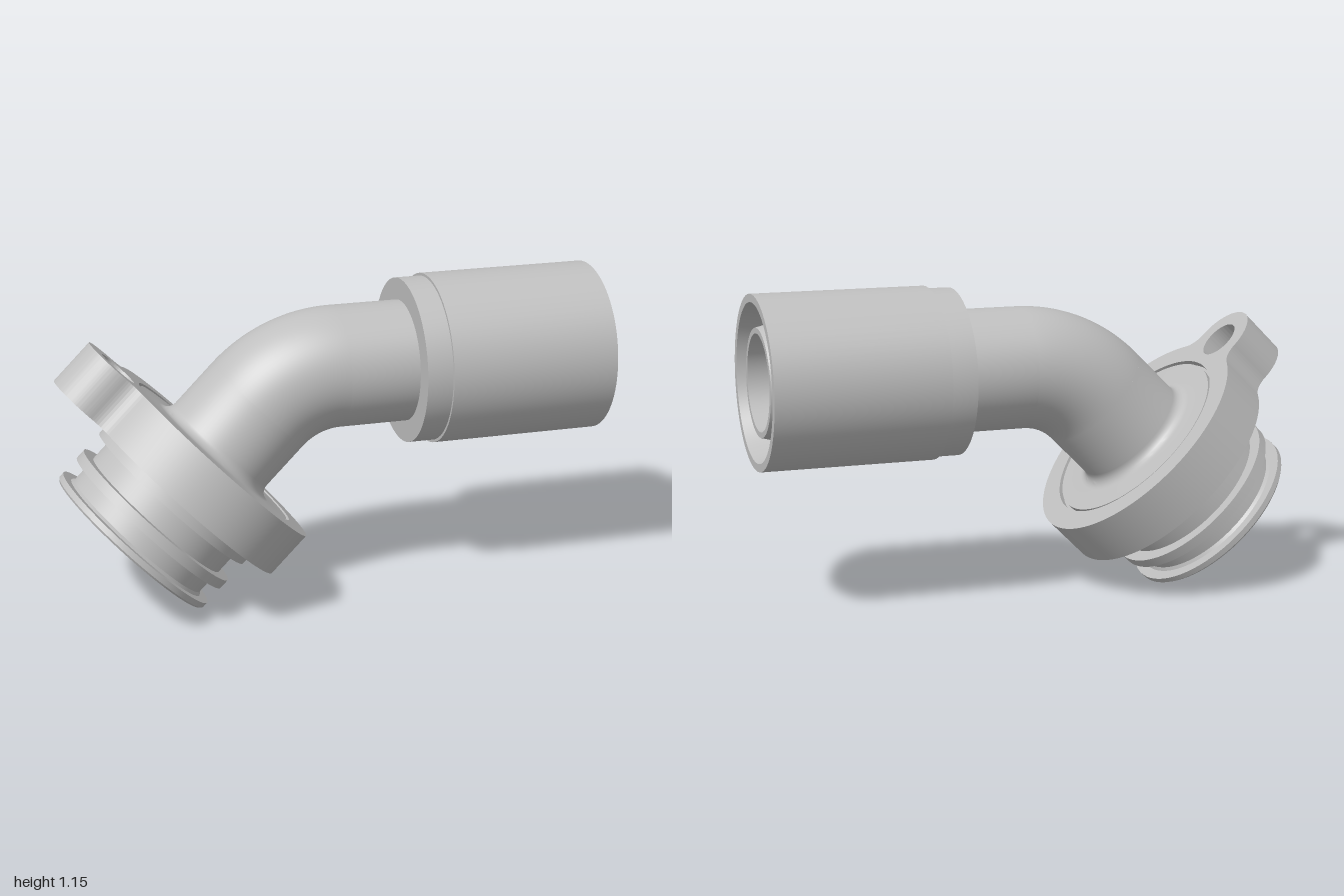
import * as THREE from 'three';
import { toCreasedNormals } from 'three/addons/utils/BufferGeometryUtils.js';

const TUBE_R = 0.222, BORE_R = 0.173, BEND_R = 0.41;

export function createModel() {
  const model = new THREE.Group();
  model.name = 'elbowHoseFitting';
  const metal = new THREE.MeshStandardMaterial({ color: 0xbfbfbf, side: THREE.DoubleSide });
  metal.name = 'grey metal';

  const add = (parent, name, geometry) => {
    const mesh = new THREE.Mesh(geometry, metal);
    mesh.name = name;
    parent.add(mesh);
    return mesh;
  };
  // Turned part from [radius, height] pairs, with crisp edges
  const turned = (pairs) => toCreasedNormals(
    new THREE.LatheGeometry(pairs.map(([r, y]) => new THREE.Vector2(r, y)), 80), 0.5);

  // Tilted connector: local y runs up the 45 degree axis
  const connector = new THREE.Group();
  connector.name = 'connector';
  connector.position.set(-0.75, 0.25, 0);
  connector.rotation.z = -Math.PI / 4;
  model.add(connector);

  // Fillet between the connector plate and the tube
  const fillet = [];
  for (let i = 0; i <= 6; i++) {
    const a = (i / 6) * Math.PI / 2;
    fillet.push([TUBE_R + 0.04 * (1 - Math.sin(a)), 0.445 + 0.04 * (1 - Math.cos(a))]);
  }
  add(connector, 'groovedSpigot', turned([
    [0.31, 0], [0.343, 0], [0.35, 0.007], [0.35, 0.028],
    [0.312, 0.028], [0.303, 0.038], [0.303, 0.1],
    [0.35, 0.1], [0.35, 0.138], [0.305, 0.138], [0.305, 0.22],
    [0.35, 0.22], [0.35, 0.27], [0.366, 0.27], [0.366, 0.425],
    [0.355, 0.425], [0.355, 0.445], ...fillet, [TUBE_R, 0.679],
    [BORE_R, 0.679], [BORE_R, 0.36], [0.27, 0.26], [0.27, 0.04], [0.31, 0],
  ]));

  // Flange outline: a disc blended into a small bolt ear
  const discR = 0.45, earR = 0.137, earX = 0.485, blend = 0.08;
  const r1 = discR + blend, r2 = earR + blend;
  const bx = (earX * earX + r1 * r1 - r2 * r2) / (2 * earX);
  const by = Math.sqrt(r1 * r1 - bx * bx);
  const beta = Math.atan2(by, bx);
  const earA = Math.atan2(by, earX - bx);
  const outline = new THREE.Shape();
  outline.absarc(0, 0, discR, beta - Math.PI, Math.PI - beta, false);
  outline.absarc(-bx, by, blend, -beta, earA - Math.PI, true);
  outline.absarc(-earX, 0, earR, earA, 2 * Math.PI - earA, false);
  outline.absarc(-bx, -by, blend, Math.PI - earA, beta, true);
  for (const [x, r] of [[0, 0.366], [-earX, 0.075]]) {
    outline.holes.push(new THREE.Path().absarc(x, 0, r, 0, Math.PI * 2, true));
  }
  const flange = new THREE.ExtrudeGeometry(outline, { depth: 0.183, bevelEnabled: false, curveSegments: 48 });
  flange.rotateX(-Math.PI / 2);
  flange.translate(0, 0.266, 0);
  add(connector, 'flangeWithBoltEar', toCreasedNormals(flange, 0.5));

  // 45 degree bend, outside wall and bore
  class Bend extends THREE.Curve {
    getPoint(t, target = new THREE.Vector3()) {
      const a = Math.PI * (0.75 - 0.25 * t);
      return target.set(0.02 + BEND_R * Math.cos(a), 0.44 + BEND_R * Math.sin(a), 0);
    }
  }
  add(model, 'bendOuterWall', new THREE.TubeGeometry(new Bend(), 24, TUBE_R, 80));
  add(model, 'bendBore', new THREE.TubeGeometry(new Bend(), 24, BORE_R, 80));

  // Straight tube, collar, crimped sleeve and inner nipple: local y runs along +x
  const sleeve = add(model, 'hoseSleeve', turned([
    [BORE_R, 0.02], [TUBE_R, 0.02], [TUBE_R, 0.275],
    [0.302, 0.275], [0.302, 0.37], [0.312, 0.37], [0.312, 1],
    [0.283, 1], [0.255, 0.88], [0.22, 0.88], [0.193, 0.985], [BORE_R, 0.985], [BORE_R, 0.02],
  ]));
  sleeve.rotation.z = -Math.PI / 2;
  sleeve.position.y = 0.85;

  return model;
}
